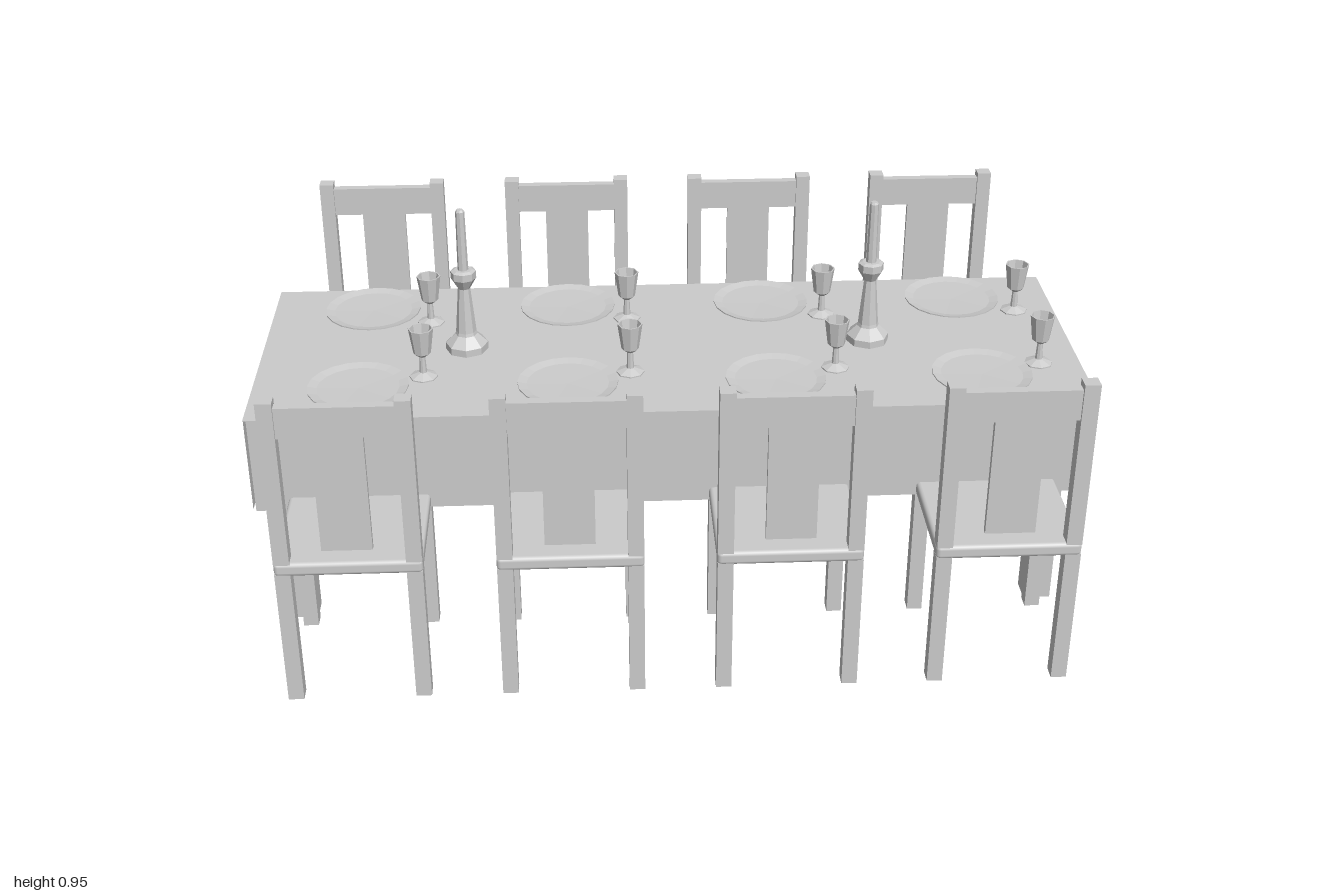
import * as THREE from 'three';
import { RoundedBoxGeometry } from 'three/addons/geometries/RoundedBoxGeometry.js';

const smooth = new THREE.MeshStandardMaterial({ color: 0xcccccc });
const flat = new THREE.MeshStandardMaterial({ color: 0xcccccc, flatShading: true });
const open = new THREE.MeshStandardMaterial({ color: 0xcccccc, flatShading: true, side: THREE.DoubleSide });

const PLACES = [-0.7425, -0.2475, 0.2475, 0.7425];
const TOP = 0.583; // height of the table surface

function add(parent, name, geometry, material, x = 0, y = 0, z = 0) {
  const mesh = new THREE.Mesh(geometry, material);
  mesh.name = name;
  mesh.position.set(x, y, z);
  parent.add(mesh);
  return mesh;
}

// Box given by its min and max on each axis
function box(parent, name, [x0, x1], [y0, y1], [z0, z1]) {
  return add(parent, name, new THREE.BoxGeometry(x1 - x0, y1 - y0, z1 - z0), flat,
    (x0 + x1) / 2, (y0 + y1) / 2, (z0 + z1) / 2);
}

function lathe(points, sides) {
  return new THREE.LatheGeometry(points.map(([r, y]) => new THREE.Vector2(r, y)), sides);
}

// Chair on the front side of the table, its back towards +z
function chair() {
  const g = new THREE.Group();
  g.name = 'chair';
  for (const s of [-1, 1]) {
    const x = s < 0 ? [-0.165, -0.129] : [0.129, 0.165];
    box(g, 'frontLeg', x, [0, 0.345], [0.295, 0.331]);
    box(g, 'backLeg', x, [0, 0.345], [0.587, 0.622]);
    box(g, 'backPost', x, [0.37, 0.78], [0.587, 0.622]);
  }
  add(g, 'seat', new RoundedBoxGeometry(0.332, 0.034, 0.33, 2, 0.01), smooth, 0, 0.357, 0.459);
  box(g, 'topRail', [-0.13, 0.13], [0.69, 0.765], [0.594, 0.616]);
  box(g, 'backSplat', [-0.057, 0.057], [0.4, 0.692], [0.598, 0.612]);
  return g;
}

// Open cloth: a top sheet and four hanging panels with slits at the corners
function tablecloth() {
  const g = new THREE.Group();
  g.name = 'tablecloth';
  const hx = 0.995, hz = 0.342, drop = 0.243, slit = 0.008;
  add(g, 'clothTop', new THREE.PlaneGeometry(2 * hx, 2 * hz).rotateX(-Math.PI / 2), open, 0, TOP, 0);
  for (const s of [-1, 1]) {
    const long = new THREE.PlaneGeometry(2 * (hx - slit), drop);
    const short = new THREE.PlaneGeometry(2 * (hz - slit), drop);
    add(g, 'longPanel', long, open, 0, TOP - drop / 2, s * hz).rotation.y = s > 0 ? 0 : Math.PI;
    add(g, 'endPanel', short, open, s * hx, TOP - drop / 2, 0).rotation.y = s * Math.PI / 2;
  }
  return g;
}

export function createModel() {
  const model = new THREE.Group();
  model.name = 'diningTable';
  model.add(tablecloth());

  // Table legs
  for (const sx of [-1, 1]) for (const sz of [-1, 1]) {
    add(model, 'tableLeg', new THREE.BoxGeometry(0.066, 0.576, 0.06), flat, sx * 0.909, 0.288, sz * 0.265);
  }

  const plate = lathe([[0, 0.001], [0.085, 0.001], [0.12, 0.011], [0.12, 0.014], [0.098, 0.009], [0, 0.007]], 20);
  const glass = lathe([[0, 0.001], [0.034, 0.001], [0.034, 0.004], [0.009, 0.014], [0.007, 0.055], [0.021, 0.066],
    [0.03, 0.13], [0.027, 0.13], [0.018, 0.072], [0, 0.067]], 8);

  // Chairs and place settings on both long sides
  for (const side of [1, -1]) for (const x of PLACES) {
    const seat = chair();
    seat.position.x = x;
    seat.rotation.y = side > 0 ? 0 : Math.PI;
    model.add(seat);
    add(model, 'plate', plate, open, x, TOP, side * 0.207);
    add(model, 'wineGlass', glass, open, x + 0.15, TOP, side * 0.145);
  }

  // Candlesticks with candles
  const stick = lathe([[0, 0], [0.052, 0], [0.052, 0.018], [0.027, 0.042], [0.025, 0.05], [0.015, 0.165],
    [0.031, 0.192], [0.031, 0.21], [0.022, 0.214], [0, 0.214]], 8);
  const candle = lathe([[0, 0.21], [0.013, 0.21], [0.011, 0.365], [0.008, 0.37], [0, 0.37]], 8);
  for (const x of [-0.495, 0.495]) {
    add(model, 'candlestick', stick, flat, x, TOP, 0);
    add(model, 'candle', candle, flat, x, TOP, 0);
  }
  return model;
}
